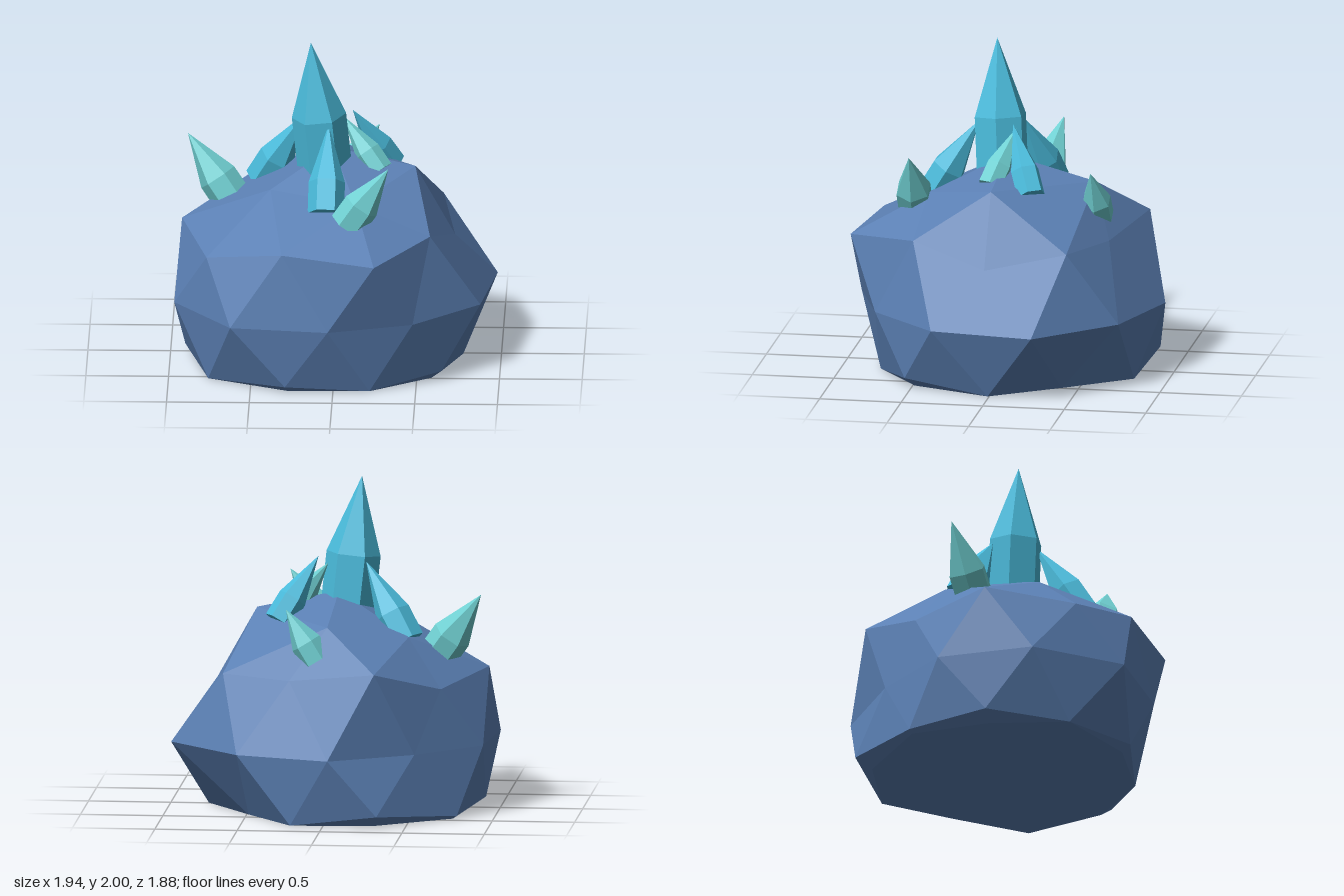
import * as THREE from 'three';

const rockBlue = new THREE.MeshStandardMaterial({ color: 0x5b80b4, flatShading: true });
rockBlue.name = 'rockBlue';
const crystalCyan = new THREE.MeshStandardMaterial({ color: 0x4abbdb, flatShading: true });
crystalCyan.name = 'crystalCyan';
const crystalTeal = new THREE.MeshStandardMaterial({ color: 0x6fcfd1, flatShading: true });
crystalTeal.name = 'crystalTeal';

// Faceted boulder: irregular rings from the top point down to the flat base
function createRock() {
  const top = [-0.02, 1.31, 0.02];
  const crown = [[0.48, 1.2, 0.04], [0.13, 1.09, 0.48], [-0.39, 1.12, 0.28], [-0.47, 1.08, -0.28], [0, 1.17, -0.52]];
  const shoulder = [
    [0.72, 0.77, 0.04], [0.58, 0.9, 0.5], [0.25, 0.84, 0.94], [-0.31, 0.88, 0.83], [-0.77, 0.78, 0.57],
    [-0.93, 0.86, 0.04], [-0.68, 0.79, -0.43], [-0.31, 0.93, -0.8], [0.22, 0.86, -0.64], [0.64, 0.87, -0.45],
  ];
  // [x, z] around the waist
  const waist = [
    [0.88, 0.34], [0.48, 0.75], [-0.03, 0.92], [-0.62, 0.84], [-0.97, 0.34],
    [-0.92, -0.25], [-0.54, -0.64], [-0.04, -0.94], [0.53, -0.75], [0.97, -0.29],
  ].map(([x, z]) => [x, 0.42, z]);
  const foot = [
    [0.77, 0, 0.01], [0.65, 0.06, 0.54], [0.22, 0, 0.76], [-0.29, 0.04, 0.82], [-0.76, 0, 0.53],
    [-0.91, 0.06, 0.04], [-0.78, 0.02, -0.45], [-0.33, 0.07, -0.86], [0.2, 0, -0.79], [0.49, 0, -0.4],
  ];
  const base = foot.map(([x, y, z]) => [x * (1 - y * 1.6), 0, z * (1 - y * 1.6)]);

  const positions = [];
  const tri = (...corners) => corners.forEach((c) => positions.push(...c));
  for (let k = 0; k < 5; k++) {
    const a = crown[k], b = crown[(k + 1) % 5];
    const s0 = shoulder[2 * k], s1 = shoulder[2 * k + 1], s2 = shoulder[(2 * k + 2) % 10];
    tri(a, top, b);
    tri(s0, a, s1);
    tri(a, b, s1);
    tri(s1, b, s2);
  }
  for (let j = 0; j < 10; j++) {
    const n = (j + 1) % 10, p = (j + 9) % 10;
    tri(shoulder[j], shoulder[n], waist[j]);
    tri(waist[p], shoulder[j], waist[j]);
    tri(waist[p], waist[j], foot[j]);
    tri(foot[j], waist[j], foot[n]);
    tri(foot[j], foot[n], base[j]);
    tri(base[j], foot[n], base[n]);
    tri(base[j], base[n], [0, 0, 0]);
  }
  const geometry = new THREE.BufferGeometry();
  geometry.setAttribute('position', new THREE.Float32BufferAttribute(positions, 3));
  geometry.computeVertexNormals();
  const mesh = new THREE.Mesh(geometry, rockBlue);
  mesh.name = 'rock';
  return mesh;
}

// Six-sided spike: a prism sunk into the rock that narrows to a tip
function createCrystal({ name, material, base, tip, radius, wide = 0.35 }) {
  const from = new THREE.Vector3(...base);
  const axis = new THREE.Vector3(...tip).sub(from);
  const h = axis.length();
  const profile = [[0, 0], [radius, 0], [radius, h * wide], [0, h]];
  const geometry = new THREE.LatheGeometry(profile.map(([r, y]) => new THREE.Vector2(r, y)), 6, Math.PI / 6);
  const mesh = new THREE.Mesh(geometry, material);
  mesh.name = name;
  mesh.position.copy(from);
  mesh.quaternion.setFromUnitVectors(new THREE.Vector3(0, 1, 0), axis.normalize());
  return mesh;
}

export function createModel() {
  const model = new THREE.Group();
  model.name = 'crystalRock';
  model.add(createRock());

  const crystals = [
    // Tall centre spike and the cyan spikes leaning against it
    { name: 'mainCrystal', material: crystalCyan, base: [-0.06, 1.13, 0.06], tip: [-0.15, 2, 0.11], radius: 0.165, wide: 0.46 },
    { name: 'frontCrystal', material: crystalCyan, base: [-0.05, 1.04, 0.49], tip: [-0.04, 1.51, 0.2], radius: 0.11 },
    { name: 'rightCrystal', material: crystalCyan, base: [-0.45, 1.04, -0.18], tip: [-0.19, 1.5, -0.04], radius: 0.11 },
    { name: 'leftCrystal', material: crystalCyan, base: [0.33, 1.15, -0.18], tip: [0.1, 1.53, -0.03], radius: 0.088 },
    // Teal spikes
    { name: 'innerTealCrystal', material: crystalTeal, base: [0.27, 1.18, 0.08], tip: [0.04, 1.49, -0.04], radius: 0.08 },
    { name: 'rightTealCrystal', material: crystalTeal, base: [-0.64, 0.96, -0.08], tip: [-0.9, 1.33, -0.17], radius: 0.12, wide: 0.3 },
    { name: 'frontTealCrystal', material: crystalTeal, base: [0.08, 0.99, 0.57], tip: [0.33, 1.35, 0.57], radius: 0.11 },
    { name: 'backTealCrystal', material: crystalTeal, base: [0.06, 0.97, -0.55], tip: [0.25, 1.28, -0.53], radius: 0.095 },
  ];
  crystals.forEach((c) => model.add(createCrystal(c)));
  return model;
}
